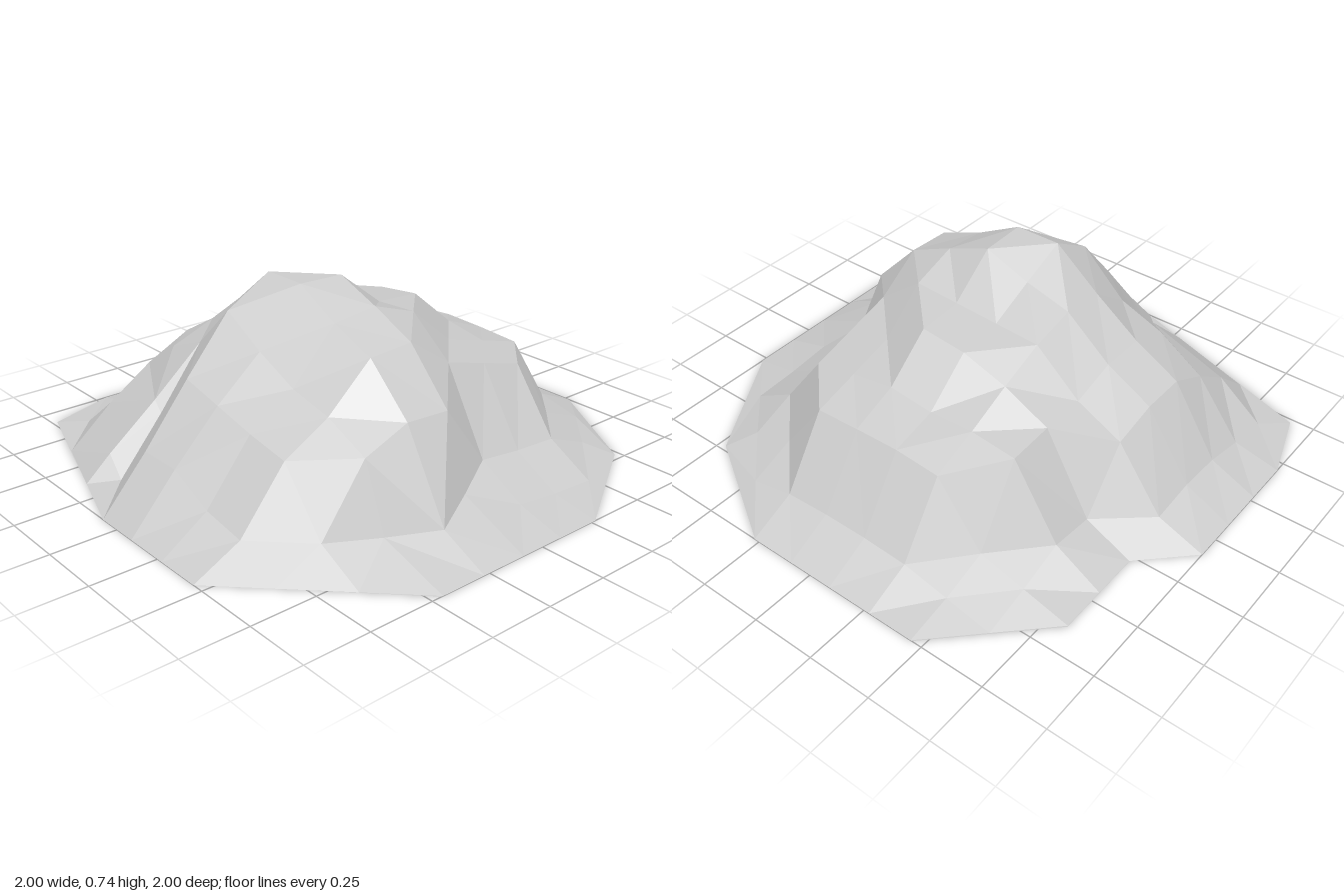
import * as THREE from 'three';

// Edge of the mound on the ground (x, z)
const outline = [
  [-0.46, -1], [0.09, -1], [0.27, -0.82], [0.64, -0.82], [1, -0.46], [1, 0.27], [0.73, 0.72],
  [0.27, 1], [-0.46, 1], [-1, 0.45], [-1, -0.09], [-0.91, -0.36], [-0.82, -0.64], [-0.73, -0.91],
].map(([x, z]) => new THREE.Vector2(x, z));

// Cross-sections from back to front, heights in hundredths, left to right in x.
// The rim around them lies on the ground.
const sections = [
  [0, 1, 4, 8, 9, 7, 0, 0, 0, 0],
  [0, 15, 27, 36, 36, 32, 9, 11, 5, 0],
  [10, 27, 39, 46, 46, 41, 41, 40, 10, 4],
  [2, 23, 46, 59, 61, 57, 50, 42, 35, 8],
  [20, 42, 63, 73.5, 66, 58, 56, 41, 36.5, 9],
  [20, 38, 53, 73.5, 73, 59, 58, 43, 36, 9],
  [12, 34, 45, 64, 66, 60, 45, 40, 35, 8],
  [9, 31, 41, 57, 58, 46, 41, 36, 11, 4],
  [0, 9, 33, 40, 39, 15, 13, 12, 5, 0],
  [0, 0, 8.5, 8.5, 11.5, 5, 3, 2, 0, 0],
];

// Section points slid along z onto a sharp crease: the side groove and the front foot
const creaseZ = { '1,3': -0.34, '2,3': -0.31, '3,10': 0.73, '5,10': 0.73 };
// Cells whose diagonal is turned to follow those creases
const turnedCells = ['1,3', '2,3', '4,9'];

const N = 11;
const coord = (i) => -1 + (2 * i) / N;

function insideOutline(p) {
  let inside = false;
  outline.forEach((a, i) => {
    const b = outline[(i + 1) % outline.length];
    if (a.y > p.y !== b.y > p.y && p.x < a.x + ((p.y - a.y) * (b.x - a.x)) / (b.y - a.y)) inside = !inside;
  });
  return inside;
}

// Grid point, pulled onto the nearest outline corner when it falls outside
function gridPoint(i, j) {
  const p = new THREE.Vector2(coord(i), coord(j));
  if (insideOutline(p.clone().multiplyScalar(0.985))) {
    return new THREE.Vector3(p.x, (sections[j - 1]?.[i - 1] ?? 0) / 100, creaseZ[`${i},${j}`] ?? p.y);
  }
  const near = outline.reduce((a, b) => (b.distanceTo(p) < a.distanceTo(p) ? b : a));
  return new THREE.Vector3(near.x, 0, near.y);
}

function moundGeometry() {
  const positions = [];
  const addTriangle = (a, b, c) => {
    const normal = b.clone().sub(a).cross(c.clone().sub(a));
    if (normal.length() < 1e-5) return;
    [a, b, c].forEach((v) => positions.push(v.x, v.y, v.z));
  };
  for (let j = 0; j < N; j++) {
    for (let i = 0; i < N; i++) {
      const a = gridPoint(i, j), b = gridPoint(i + 1, j);
      const c = gridPoint(i + 1, j + 1), d = gridPoint(i, j + 1);
      // Diagonals run around the summit
      const around = (i - 5) * (j - 4.5) >= 0;
      if (around !== turnedCells.includes(`${i},${j}`)) {
        addTriangle(a, d, b);
        addTriangle(b, d, c);
      } else {
        addTriangle(a, d, c);
        addTriangle(a, c, b);
      }
    }
  }
  const geometry = new THREE.BufferGeometry();
  geometry.setAttribute('position', new THREE.Float32BufferAttribute(positions, 3));
  geometry.computeVertexNormals();
  return geometry;
}

export function createModel() {
  const group = new THREE.Group();
  group.name = 'rockyHill';
  // Hollow faceted shell, open underneath
  const mound = new THREE.Mesh(
    moundGeometry(),
    new THREE.MeshStandardMaterial({ color: 0xcccccc, flatShading: true, side: THREE.DoubleSide }),
  );
  mound.name = 'moundShell';
  group.add(mound);
  return group;
}
